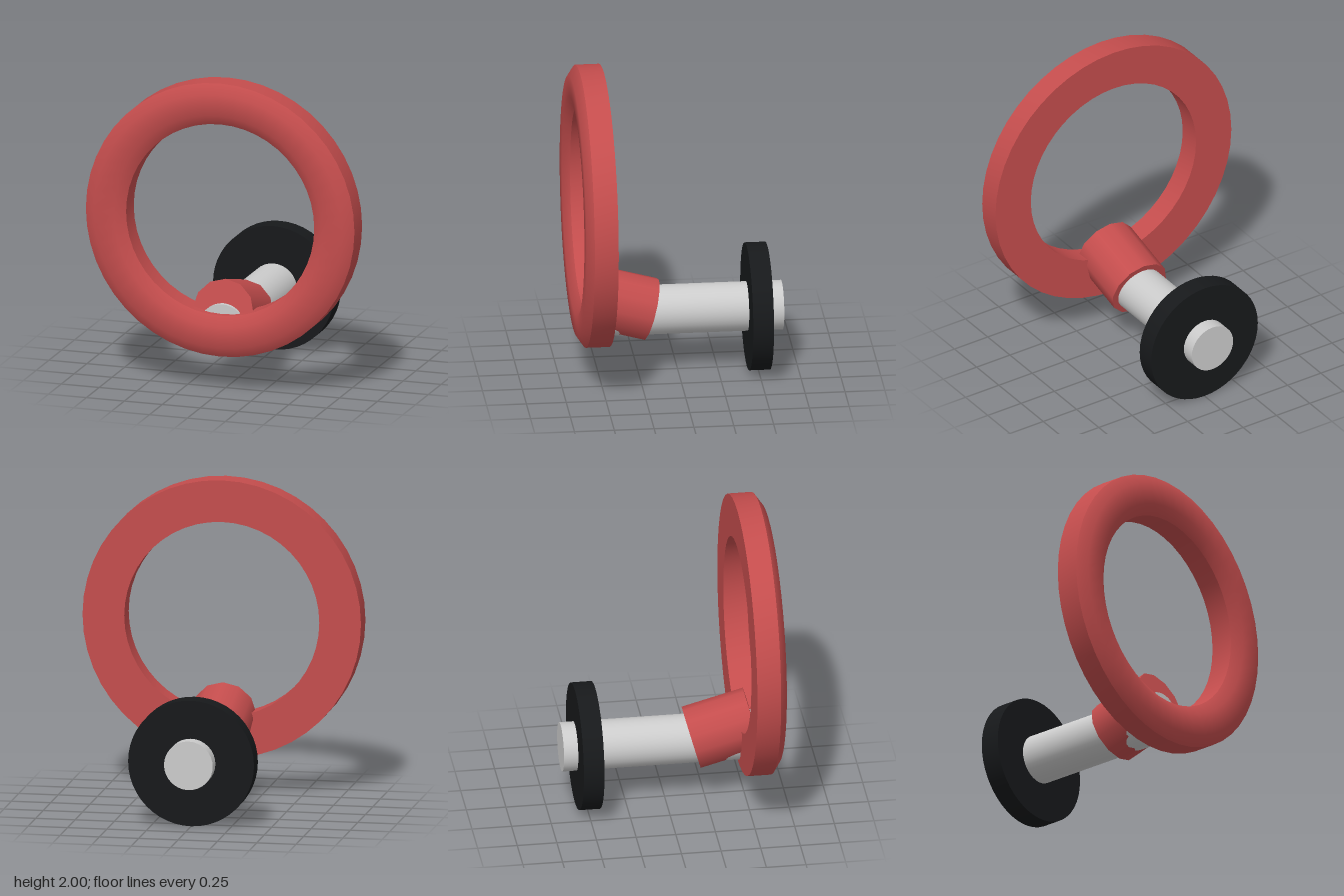
import * as THREE from 'three';
import { toCreasedNormals } from 'three/addons/utils/BufferGeometryUtils.js';

const red = new THREE.MeshStandardMaterial({ color: 0xc44d4d });
const black = new THREE.MeshStandardMaterial({ color: 0x17191b });
const grey = new THREE.MeshStandardMaterial({ color: 0xcccccc });

export function createModel() {
  const model = new THREE.Group();
  const axisY = 0.4;

  const add = (name, geometry, material, y, z) => {
    const mesh = new THREE.Mesh(geometry, material);
    mesh.name = name;
    mesh.position.set(0, y, z);
    model.add(mesh);
    return mesh;
  };

  // Cylinder lying along z
  const rod = (radius, length, sides) =>
    new THREE.CylinderGeometry(radius, radius, length, sides).rotateX(Math.PI / 2);

  // Wheel rim: flat back, softly chamfered front
  const profile = [
    [0.62, 0], [0.885, 0], [0.885, 0.15], [0.82, 0.195], [0.685, 0.195], [0.62, 0.15], [0.62, 0],
  ].map(([r, h]) => new THREE.Vector2(r, h));
  const rim = new THREE.LatheGeometry(profile, 48).rotateX(Math.PI / 2);
  add('rim', toCreasedNormals(rim, 0.7), red, 1.115, 0.46);

  // Tilted twelve-sided collar joining the rim to the shaft
  const collar = add('collar', rod(0.2, 0.4, 12), red, 0.46, 0.361);
  collar.rotation.x = -0.268;

  // Straight shaft with a disc near its rear end
  add('shaft', rod(0.155, 1.225, 32), grey, axisY + 0.003, -0.0425);
  add('disc', rod(0.4, 0.13, 48), black, axisY, -0.5);

  return model;
}
